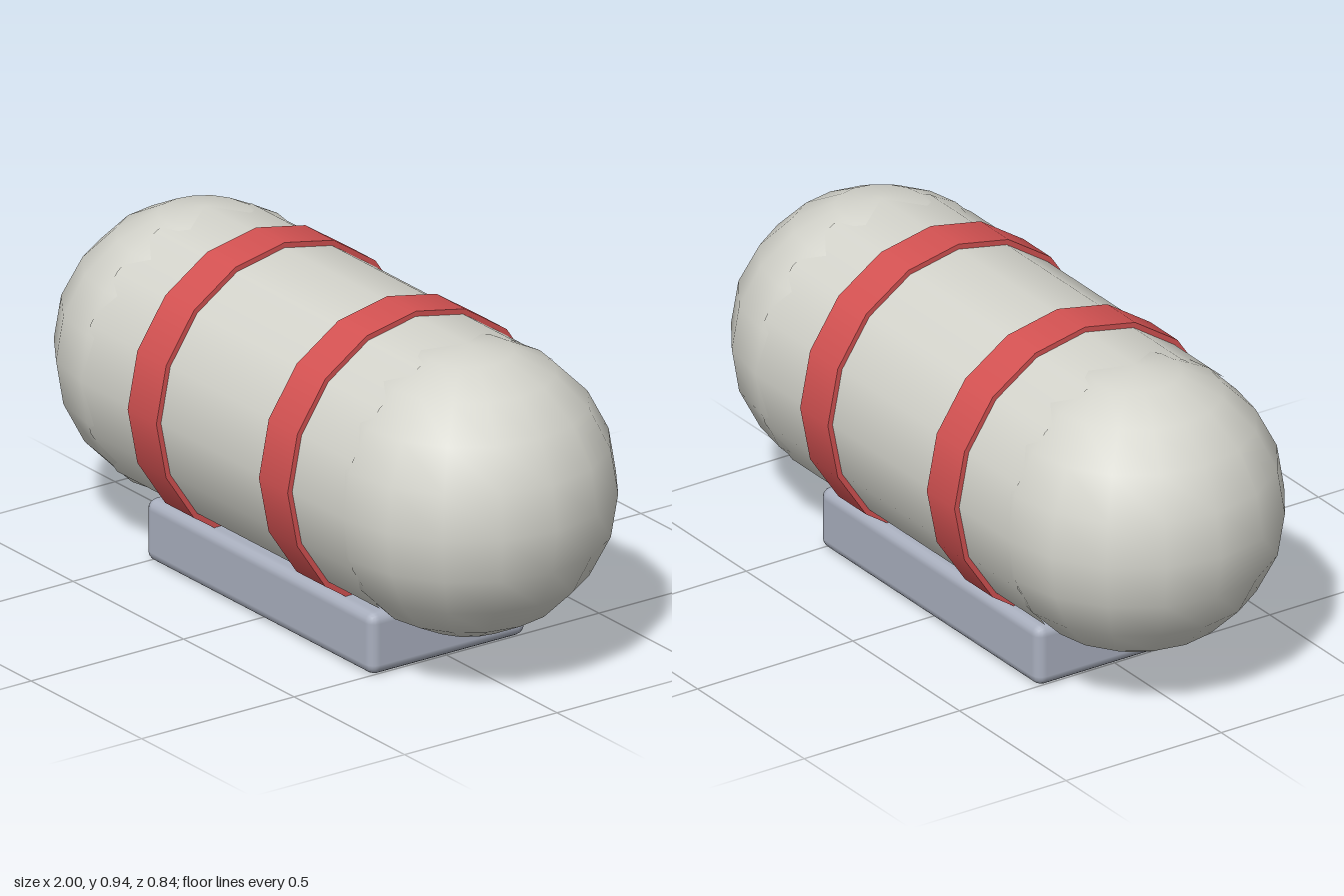
import * as THREE from 'three';
import { RoundedBoxGeometry } from 'three/addons/geometries/RoundedBoxGeometry.js';

const RADIUS = 0.406;
const AXIS_Y = 0.52;
const HALF_BODY = 1 - RADIUS;

function material(name, color) {
  const m = new THREE.MeshStandardMaterial({ color });
  m.name = name;
  return m;
}

export function createModel() {
  const model = new THREE.Group();
  model.name = 'storageTank';

  const shell = material('warm light grey', 0xd4d4cc);
  const red = material('strap red', 0xd45252);
  const steel = material('blue grey', 0xa9afbe);

  function add(name, geometry, mat, x, y) {
    const mesh = new THREE.Mesh(geometry, mat);
    mesh.name = name;
    mesh.position.set(x, y, 0);
    model.add(mesh);
    return mesh;
  }

  // Cylinder lying along x
  const lying = (radius, length, open) =>
    new THREE.CylinderGeometry(radius, radius, length, 16, 1, open).rotateZ(Math.PI / 2);

  // Tank body
  add('tankBody', lying(RADIUS, HALF_BODY * 2, true), shell, 0, AXIS_Y);

  // Domed ends and straps, mirrored left and right
  for (const [side, s] of [['left', 1], ['right', -1]]) {
    add(side + 'Dome', new THREE.SphereGeometry(RADIUS, 16, 10), shell, s * HALF_BODY, AXIS_Y);
    add(side + 'Strap', lying(0.421, 0.13, false), red, s * 0.297, AXIS_Y);
  }

  // Rounded base block
  add('base', new RoundedBoxGeometry(1.03, 0.178, 0.515, 2, 0.03), steel, 0, 0.089);

  return model;
}
